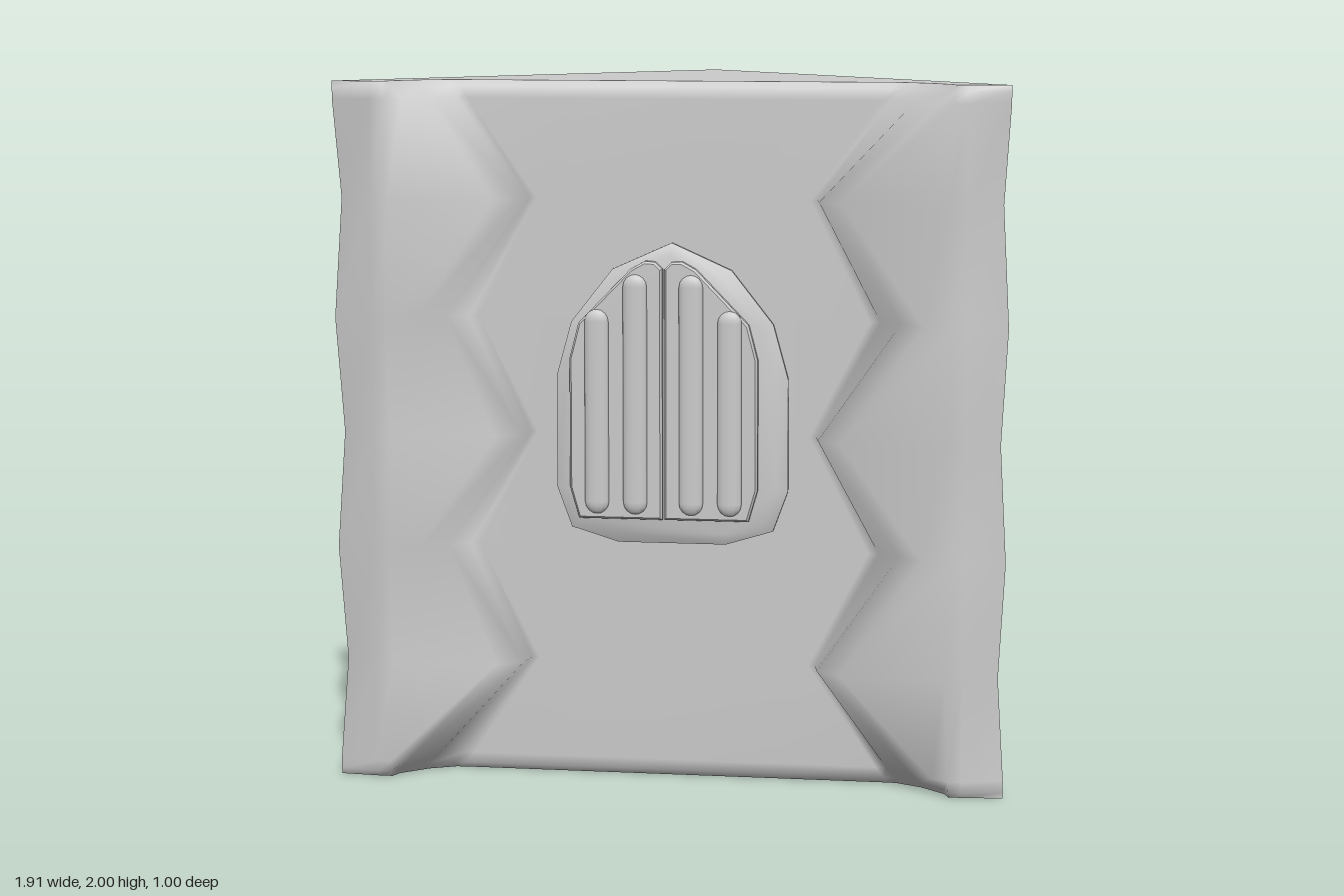
import * as THREE from 'three';
import { toCreasedNormals } from 'three/addons/utils/BufferGeometryUtils.js';

const grey = () => new THREE.MeshStandardMaterial({ color: 0xcccccc });

function add(parent, name, geometry) {
  const mesh = new THREE.Mesh(geometry, grey());
  mesh.name = name;
  parent.add(mesh);
  return mesh;
}

// Half sections [x, z] of the rocky front, where the side rock recedes and where it juts out
const RECESS = [[0.3, 0.35], [0.56, 0.35], [0.59, 0.352], [0.65, 0.39], [0.72, 0.455], [0.8, 0.49], [0.84, 0.49], [0.955, 0.455]];
const JUT = [[0.3, 0.35], [0.39, 0.35], [0.41, 0.352], [0.422, 0.415], [0.49, 0.477], [0.79, 0.495], [0.84, 0.492], [0.936, 0.436]];

// Rows [height, jut amount, rim inset]
const ROWS = [
  [0, -0.3, 0.025], [0.018, -0.3, 0.006], [0.05, -0.15, 0],
  [0.34, 1, 0], [0.67, 0, 0], [1, 1, 0], [1.33, 0, 0], [1.67, 1, 0],
  [1.95, -0.15, 0], [1.982, -0.3, 0.006], [2, -0.3, 0.025],
];

// Full front section of one row, from -x to +x
function section([y, t, inset]) {
  const half = RECESS.map(([x, z], i) => {
    const last = i === RECESS.length - 1;
    const k = last ? Math.max(t, 0) : t;
    const px = x + (JUT[i][0] - x) * k;
    const pz = z + (JUT[i][1] - z) * Math.max(t, 0) - (last ? 0 : inset);
    return [px, y, pz];
  });
  return [...half.map(([x, h, z]) => [-x, h, z]).reverse(), ...half];
}

// Skin a stack of equally long rows of points
function skin(rows) {
  const n = rows[0].length;
  const index = [];
  for (let r = 0; r < rows.length - 1; r++) {
    for (let c = 0; c < n - 1; c++) {
      const a = r * n + c, d = a + n;
      index.push(a, a + 1, d + 1, a, d + 1, d);
    }
  }
  const g = new THREE.BufferGeometry();
  g.setAttribute('position', new THREE.Float32BufferAttribute(rows.flat(2), 3));
  g.setIndex(index);
  g.computeVertexNormals();
  return g;
}

function shapeOf(points) {
  return new THREE.Shape(points.map(([x, y]) => new THREE.Vector2(x, y)));
}

function createWall() {
  const wall = new THREE.Group();
  wall.name = 'wallBlock';
  const rows = ROWS.map(section);
  add(wall, 'rockyFront', skin(rows));

  // Two flat back faces meeting at the rear corner
  const apex = (r) => [0, r[0][1], -0.5];
  add(wall, 'backLeft', skin(rows.map((r) => [r[r.length - 1], apex(r)])));
  add(wall, 'backRight', skin(rows.map((r) => [apex(r), r[0]])));

  // Flat top and bottom
  for (const [name, row, s] of [['bottom', rows[0], 1], ['top', rows[rows.length - 1], -1]]) {
    const outline = [...row, apex(row)].map(([x, , z]) => [x, s * z]);
    const g = new THREE.ShapeGeometry(shapeOf(outline));
    g.rotateX((s * Math.PI) / 2);
    add(wall, name, g).position.y = row[0][1];
  }
  return wall;
}

function createWindow() {
  const group = new THREE.Group();
  group.name = 'window';

  // Bevelled arched slab behind the shutters
  const side = [[0.15, 0.72], [0.265, 0.755], [0.3, 0.85], [0.3, 1.16], [0.26, 1.305], [0.15, 1.445]];
  const arch = [...side, [0, 1.512], ...side.map(([x, y]) => [-x, y]).reverse()];
  const frame = new THREE.ExtrudeGeometry(shapeOf(arch), {
    depth: 0.01, bevelEnabled: true, bevelThickness: 0.015, bevelSize: 0.032, bevelSegments: 1,
  });
  add(group, 'windowFrame', toCreasedNormals(frame, 0.7)).position.z = 0.357;

  // Pair of shutters meeting just off centre, each with raised planks
  const leaf = [[0, 0.76], [0.24, 0.76], [0.266, 0.85], [0.266, 1.22], [0.24, 1.32], [0.09, 1.475], [0.05, 1.497], [0.02, 1.495], [0, 1.475]];
  for (const s of [-1, 1]) {
    const shutter = new THREE.Group();
    shutter.name = s < 0 ? 'rightShutter' : 'leftShutter';
    shutter.position.x = -0.02;
    const panel = new THREE.ExtrudeGeometry(shapeOf(leaf.map(([x, y]) => [s * (x + 0.003), y])), {
      depth: 0.025, bevelEnabled: true, bevelThickness: 0.008, bevelSize: 0.006, bevelOffset: -0.006, bevelSegments: 1,
    });
    add(shutter, 'shutterPanel', toCreasedNormals(panel, 0.6)).position.z = 0.372;
    for (const [x, top] of [[0.08, 1.46], [0.19, 1.36]]) {
      const plank = new THREE.CapsuleGeometry(0.035, top - 0.775 - 0.07, 4, 12);
      plank.scale(1, 1, 0.45);
      add(shutter, 'plank', plank).position.set(s * x, (top + 0.775) / 2, 0.404);
    }
    group.add(shutter);
  }
  return group;
}

export function createModel() {
  const model = new THREE.Group();
  model.name = 'rockWallCorner';
  model.add(createWall(), createWindow());
  return model;
}
